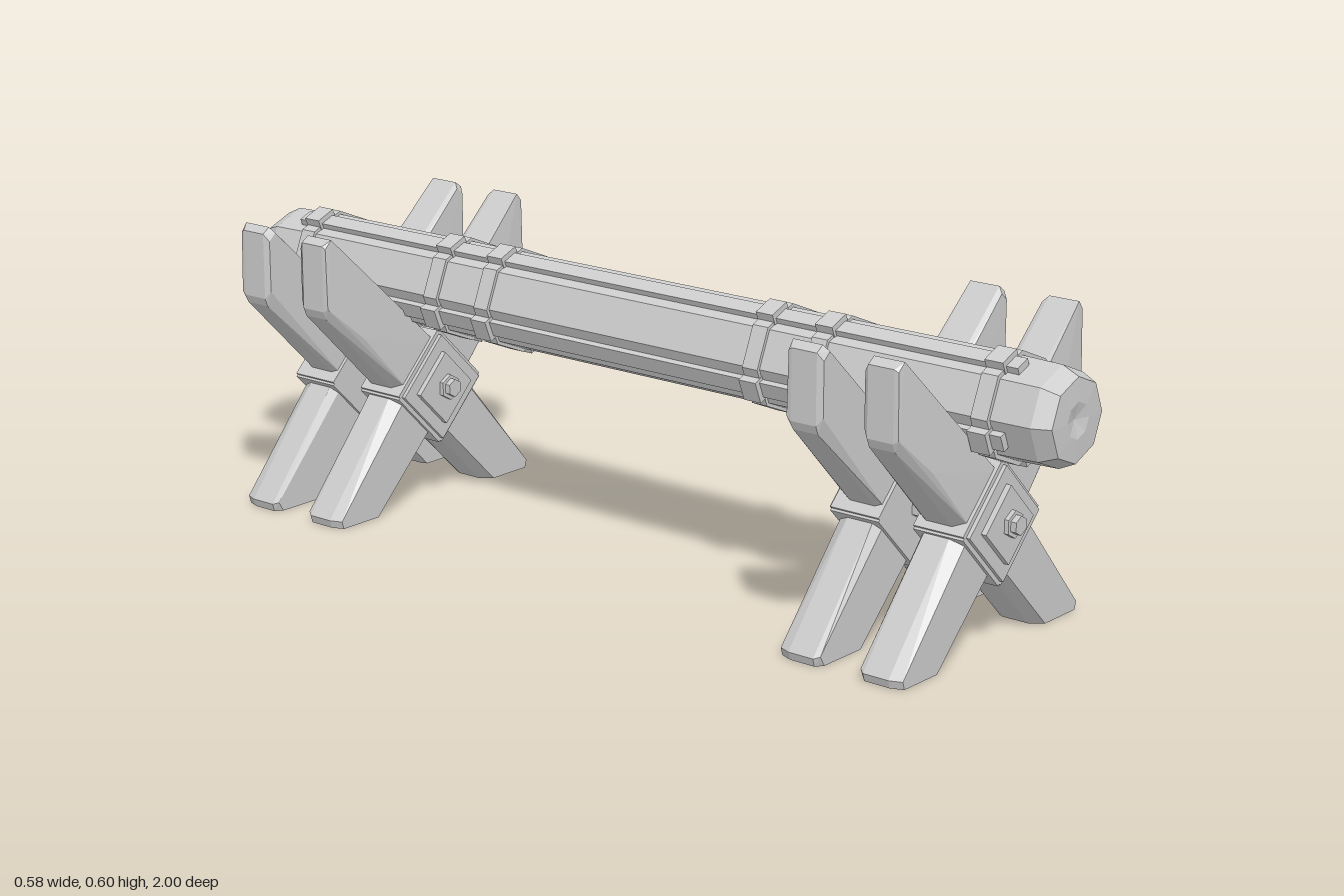
import * as THREE from 'three';
import { ConvexGeometry } from 'three/addons/geometries/ConvexGeometry.js';

const grey = new THREE.MeshStandardMaterial({ color: 0xcccccc, flatShading: true });
const LOG_X = 0.01, LOG_Y = 0.465;
const HUB_X = 0.005, HUB_Y = 0.243;

function part(name, geometry, x = 0, y = 0, z = 0, turn = 0) {
  const mesh = new THREE.Mesh(geometry, grey);
  mesh.name = name;
  mesh.position.set(x, y, z);
  mesh.rotation.z = turn;
  return mesh;
}

// Prism lying along z
function prism(radius, length, sides) {
  return new THREE.CylinderGeometry(radius, radius, length, sides).rotateX(Math.PI / 2);
}

// Octagonal log with rounded ends, long battens and raised hoops
function makeLog() {
  const log = new THREE.Group();
  log.name = 'log';
  log.position.set(LOG_X, LOG_Y, 0);

  const half = [[0, 0.99], [0.035, 0.999], [0.081, 0.997], [0.097, 0.962], [0.099, 0.88], [0.101, 0.86]];
  const profile = [
    ...half.map(([r, z]) => new THREE.Vector2(r, -z)),
    ...half.slice().reverse().map(([r, z]) => new THREE.Vector2(r, z)),
  ];
  log.add(part('logBody', new THREE.LatheGeometry(profile, 8).rotateX(Math.PI / 2)));

  const hoops = [-0.86, -0.482, -0.343, 0.343, 0.482, 0.86];
  for (const z of hoops) log.add(part('hoop', prism(0.108, 0.036, 8), 0, 0, z));

  for (let i = 0; i < 4; i++) {
    const a = Math.PI / 8 + i * Math.PI / 2;
    const c = Math.cos(a), s = Math.sin(a);
    log.add(part('batten', new THREE.BoxGeometry(0.03, 0.033, 1.81), c * 0.09, s * 0.09, 0, a));
    for (const z of hoops) {
      log.add(part('hoopBump', new THREE.BoxGeometry(0.03, 0.046, 0.04), c * 0.101, s * 0.101, z, a));
    }
  }
  return log;
}

// Hewn plank from upper left to lower right: full outline in the middle, chipped faces
function plankGeometry(mirror) {
  const core = [
    [-0.275, 0.602], [-0.292, 0.59], [-0.292, 0.455], [-0.285, 0.438], [-0.11, 0.262],
    [0.155, 0], [0.285, 0], [0.29, 0.016], [0.115, 0.232], [0.0, 0.345],
  ];
  const front = [
    [-0.275, 0.602, 0.032], [-0.29, 0.585, 0.03], [-0.29, 0.462, 0.033], [-0.2, 0.385, 0.044],
    [-0.09, 0.262, 0.048], [0.175, 0, 0.047], [0.275, 0, 0.047], [0.28, 0.016, 0.047], [0, 0.34, 0.048],
  ];
  const back = [
    [-0.268, 0.59, -0.045], [-0.285, 0.575, -0.045], [-0.285, 0.47, -0.045], [-0.1, 0.262, -0.048],
    [0.16, 0, -0.045], [0.27, 0, -0.045], [0.282, 0.02, -0.045], [0, 0.335, -0.048],
  ];
  const points = [...front, ...back].map(([x, y, z]) => new THREE.Vector3(x * mirror, y, z));
  for (const [x, y] of core) {
    points.push(new THREE.Vector3(x * mirror, y, 0.022), new THREE.Vector3(x * mirror, y, -0.034));
  }
  return new ConvexGeometry(points);
}

// Crossed planks with a bolted square hub facing +z
function makeCross() {
  const cross = new THREE.Group();
  cross.name = 'crossedPlanks';
  cross.add(part('plank', plankGeometry(1)), part('plank', plankGeometry(-1)));

  const hub = new THREE.Group();
  hub.name = 'hub';
  hub.position.set(HUB_X, HUB_Y, 0);
  hub.add(part('hubBlock', new THREE.BoxGeometry(0.158, 0.158, 0.118), 0, 0, 0.004, Math.PI / 4));
  hub.add(part('hubPlate', new THREE.BoxGeometry(0.108, 0.108, 0.02), 0, 0, 0.064, Math.PI / 4));
  hub.add(part('washer', prism(0.027, 0.012, 6), 0.005, 0.002, 0.077));
  hub.add(part('boltHead', prism(0.019, 0.02, 6), 0.005, 0.002, 0.085));

  // Strap around each arm
  for (let i = 0; i < 4; i++) {
    const a = Math.PI / 4 + i * Math.PI / 2;
    hub.add(part('strap', new THREE.BoxGeometry(0.022, 0.166, 0.11),
      Math.cos(a) * 0.077, Math.sin(a) * 0.077, 0, a));
  }
  cross.add(hub);
  return cross;
}

// Two crosses, hubs outward, joined by an axle
function makeStand() {
  const stand = new THREE.Group();
  stand.name = 'stand';
  for (const side of [1, -1]) {
    const cross = makeCross();
    cross.position.z = side * 0.09;
    if (side < 0) cross.rotation.y = Math.PI;
    stand.add(cross);
  }
  stand.add(part('axle', prism(0.03, 0.2, 6), HUB_X, HUB_Y, 0));
  return stand;
}

export function createModel() {
  const model = new THREE.Group();
  model.name = 'logOnStands';
  model.add(makeLog());
  for (const side of [1, -1]) {
    const stand = makeStand();
    stand.position.z = side * 0.702;
    model.add(stand);
  }
  return model;
}
